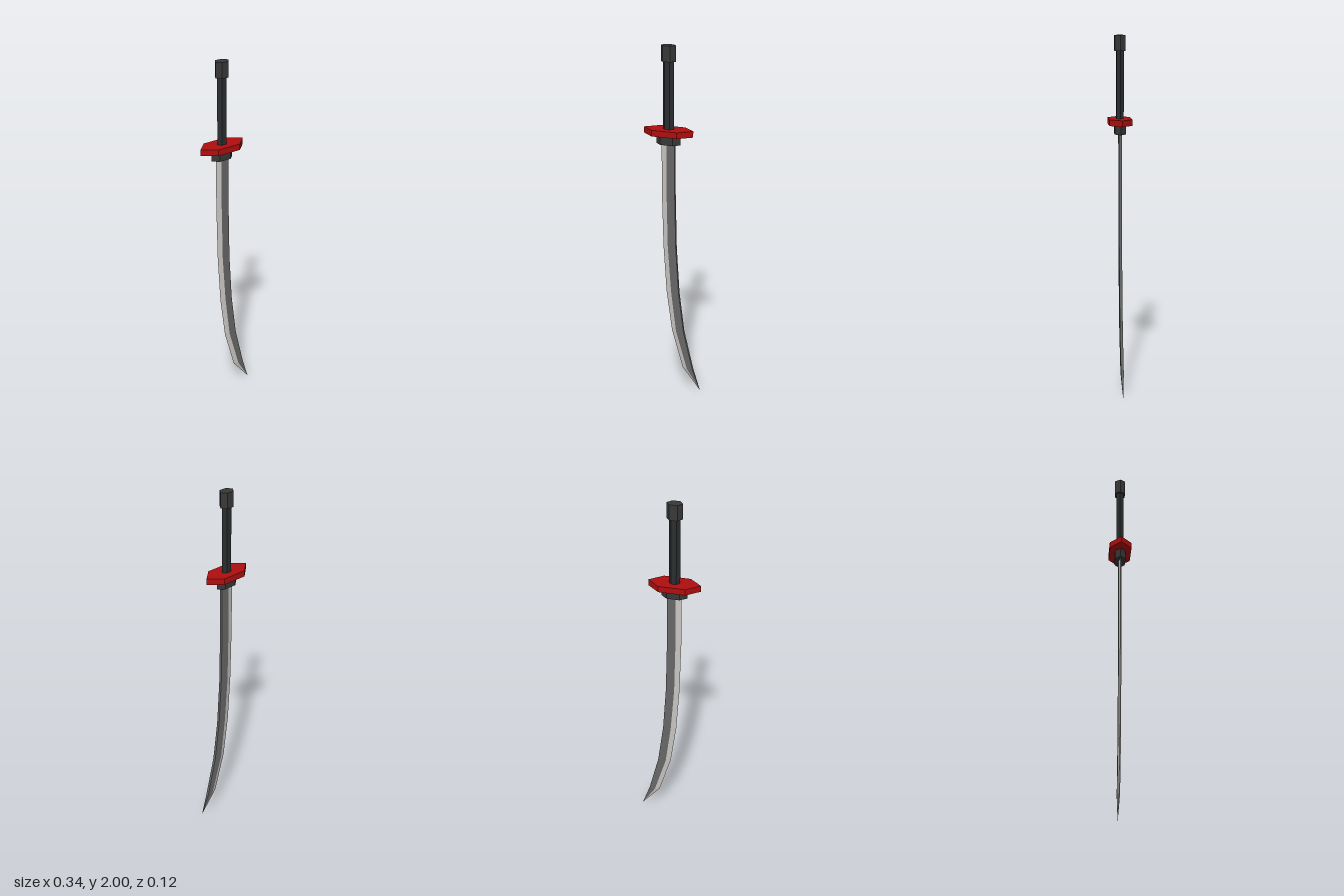
import * as THREE from 'three';

const flat = (name, color) => Object.assign(new THREE.MeshStandardMaterial({ color, flatShading: true }), { name });

const CENTRE_X = -0.028;

// Upright six-sided prism with points on +x and -x and flat front and back
function hexPrism(name, material, y0, y1, halfX, halfFlat, halfZ) {
  const shape = new THREE.Shape([
    [-halfX, 0], [-halfFlat, -halfZ], [halfFlat, -halfZ],
    [halfX, 0], [halfFlat, halfZ], [-halfFlat, halfZ],
  ].map(([x, z]) => new THREE.Vector2(x, z)));
  const geometry = new THREE.ExtrudeGeometry(shape, { depth: y1 - y0, bevelEnabled: false });
  geometry.rotateX(-Math.PI / 2);
  const mesh = new THREE.Mesh(geometry, material);
  mesh.name = name;
  mesh.position.set(CENTRE_X, y0, 0);
  return mesh;
}

// Blade cross-sections: height, cutting edge x, ridge x, spine x
const SECTIONS = [
  [1.48, -0.068, -0.037, 0.010],
  [1.20, -0.068, -0.037, 0.011],
  [0.87, -0.059, -0.030, 0.018],
  [0.60, -0.041, -0.010, 0.035],
  [0.36, -0.008, 0.020, 0.066],
  [0.13, 0.060, 0.088, 0.122],
];
const TIP = [0.168, 0, 0];
const HALF_THICK = 0.008;

// Skin some sides of the five-cornered section down the blade to the tip
function bladeSides(name, material, sides) {
  const rings = SECTIONS.map(([y, edge, ridge, spine]) => [
    [edge, y, 0], [ridge, y, HALF_THICK], [spine, y, HALF_THICK],
    [spine, y, -HALF_THICK], [ridge, y, -HALF_THICK],
  ]);
  const points = [];
  for (const a of sides) {
    const b = (a + 1) % 5;
    rings.forEach((ring, i) => {
      const next = rings[i + 1];
      if (next) points.push(ring[a], next[a], next[b], ring[a], next[b], ring[b]);
      else points.push(ring[a], TIP, ring[b]);
    });
  }
  const geometry = new THREE.BufferGeometry();
  geometry.setAttribute('position', new THREE.Float32BufferAttribute(points.flat(), 3));
  geometry.computeVertexNormals();
  const mesh = new THREE.Mesh(geometry, material);
  mesh.name = name;
  return mesh;
}

export function createModel() {
  const red = flat('guard red', 0xb00e0e);
  const charcoal = flat('fitting charcoal', 0x383838);
  const black = flat('grip black', 0x2b2d2f);
  const steel = flat('dark steel', 0x666666);
  const bright = flat('bright steel', 0xc9c6c2);

  const sword = new THREE.Group();
  sword.name = 'sword';

  // Hilt, top to bottom
  sword.add(
    hexPrism('pommel', charcoal, 1.915, 2.0, 0.042, 0.021, 0.029),
    hexPrism('grip', black, 1.55, 1.915, 0.031, 0.0145, 0.02),
    hexPrism('guard', red, 1.516, 1.55, 0.143, 0.073, 0.062),
    hexPrism('collar', charcoal, 1.465, 1.516, 0.07, 0.036, 0.03),
  );

  // Blade body with its flat spine, and the sharpened bevels
  sword.add(
    bladeSides('bladeBody', steel, [1, 2, 3]),
    bladeSides('bladeEdge', bright, [0, 4]),
  );
  return sword;
}
